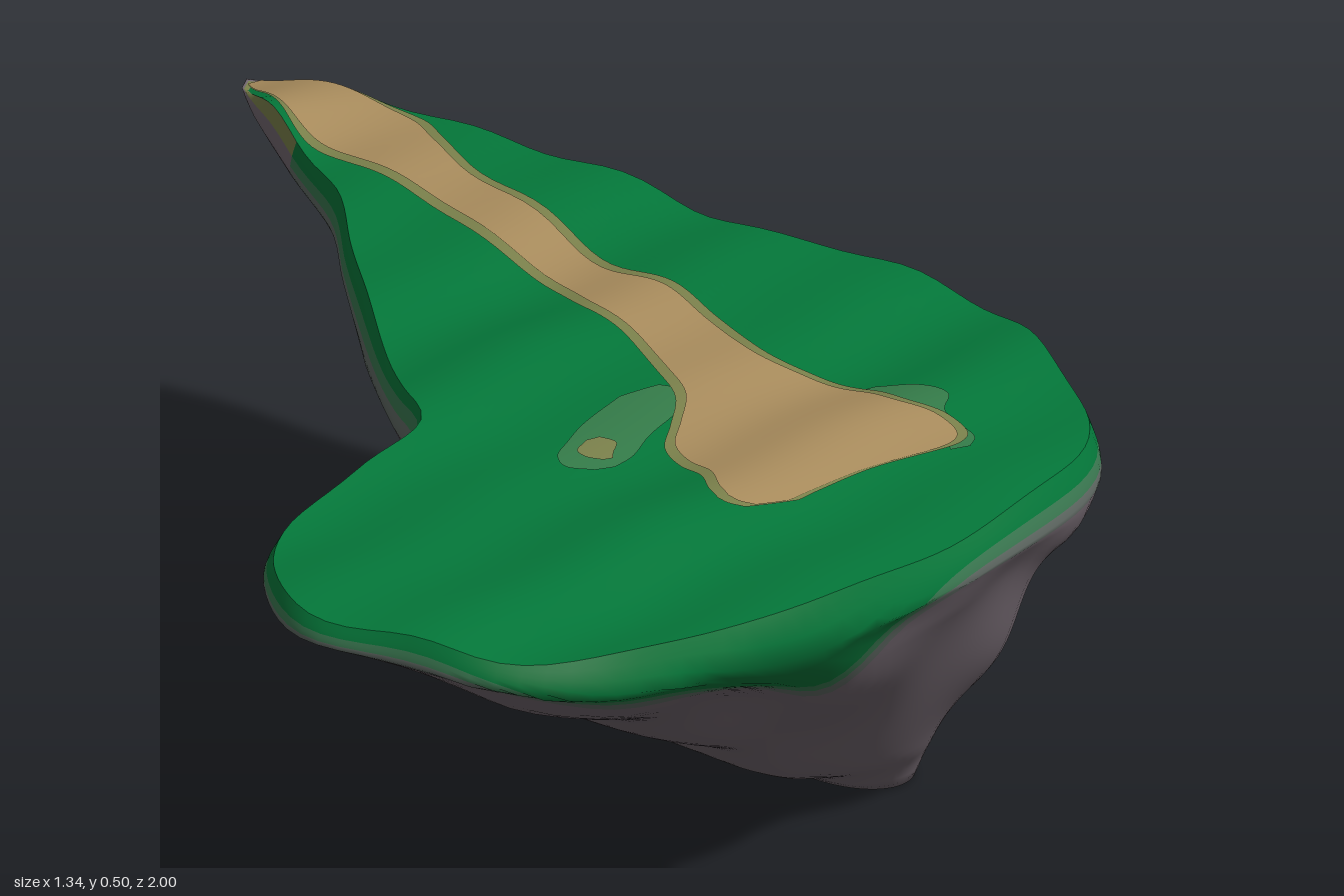
import * as THREE from 'three';

const mat = (name, color, extra = {}) => Object.assign(new THREE.MeshStandardMaterial({ color, ...extra }), { name });
const SEG = 160;
const CENTRE = [0.25, 0.5];

// shoreline of the island as [x, z], starting at the narrow tip
const OUTLINE = [
  [0.285, -1], [0.33, -0.9], [0.36, -0.8], [0.415, -0.67], [0.46, -0.5], [0.51, -0.36], [0.545, -0.16],
  [0.6, -0.04], [0.65, 0.1], [0.668, 0.26], [0.635, 0.45], [0.575, 0.64], [0.48, 0.75], [0.2, 0.9],
  [-0.04, 0.98], [-0.2, 0.995], [-0.43, 0.995], [-0.54, 0.93], [-0.61, 0.81], [-0.672, 0.67], [-0.62, 0.5],
  [-0.52, 0.37], [-0.36, 0.28], [-0.2, 0.18], [-0.15, 0.06], [-0.06, -0.15], [0.06, -0.4],
  [0.14, -0.56], [0.185, -0.74], [0.235, -0.91],
];

// gently rolling ground height
const smooth = THREE.MathUtils.smoothstep;
const ground = (x, z) =>
  0.48 + 0.006 * Math.sin(13 * z + 3 * x) + 0.005 * Math.sin(14 * x - 6 * z + 1) +
  0.005 * Math.sin(9 * x + 23 * z) + 0.008 * Math.exp(-(((z + 0.75) / 0.1) ** 2)) - 0.028 * smooth(-z, 0.78, 1);

// lumpy offset for the rock
const lump = (x, y, z) =>
  0.5 * Math.sin(14 * x + 9 * z + 16 * y) + 0.35 * Math.sin(23 * z - 11 * x + 2) + 0.35 * Math.sin(27 * y + 17 * x - 8 * z);

function makeGeometry(positions, buckets) {
  const geo = new THREE.BufferGeometry();
  geo.setAttribute('position', new THREE.Float32BufferAttribute(positions, 3));
  geo.setIndex(buckets.flat());
  let start = 0;
  if (buckets.length > 1) buckets.forEach((b, i) => { geo.addGroup(start, b.length, i); start += b.length; });
  geo.computeVertexNormals();
  return geo;
}

function makeShore() {
  const curve = new THREE.CatmullRomCurve3(OUTLINE.map(([x, z]) => new THREE.Vector3(x, 0, z)), true, 'centripetal');
  return curve.getSpacedPoints(SEG).slice(0, SEG).map((p) => {
    const dx = p.x - CENTRE[0], dz = p.z - CENTRE[1], r = Math.hypot(dx, dz);
    return { x: p.x, z: p.z, dx, dz, r, inset: 1 - 0.016 / r };
  });
}

// grass top: concentric rings reaching the inset shoreline
function topGeometry(shore) {
  const rings = 40, pos = [CENTRE[0], ground(...CENTRE), CENTRE[1]], idx = [];
  for (let k = 1; k <= rings; k++) {
    for (const p of shore) {
      const f = (k / rings) * p.inset;
      const x = CENTRE[0] + p.dx * f, z = CENTRE[1] + p.dz * f;
      pos.push(x, ground(x, z), z);
    }
  }
  for (let i = 0; i < SEG; i++) {
    const j = (i + 1) % SEG;
    idx.push(0, 1 + j, 1 + i);
    for (let k = 0; k < rings - 1; k++) {
      const a = 1 + k * SEG, b = a + SEG;
      idx.push(a + i, a + j, b + i, a + j, b + j, b + i);
    }
  }
  return makeGeometry(pos, [idx]);
}

// point on the flank: v = 0 at the grass edge, 0.1 at the widest rim, 1 at the foot
function flankPoint(p, v) {
  const tip = smooth(-p.z, 0.5, 1), left = smooth(-p.x, 0.35, 0.65);
  const rimY = 0.415 + 0.035 * Math.max(tip, left);
  if (v <= 0.1) {
    const t = v / 0.1, f = p.inset + (1 - p.inset) * Math.sin(t * Math.PI / 2);
    const x = CENTRE[0] + p.dx * f, z = CENTRE[1] + p.dz * f;
    const y0 = ground(CENTRE[0] + p.dx * p.inset, CENTRE[1] + p.dz * p.inset);
    return [x, y0 + (rimY - y0) * t, z];
  }
  const u = (v - 0.1) / 0.9, { r } = p;
  const ux = p.dx / r, uz = p.dz / r;
  const x = p.x + (0.295 + 0.085 * ux - p.x) * u, z = p.z + (0.43 + 0.15 * uz - p.z) * u;
  const straight = rimY * (1 - u ** 1.08);
  const y = straight + 0.018 * smooth(u, 0.85, 1) * (1 - u) / 0.15 + 0.003;
  // lumps push outward and down, across the sloping rock
  const n = (0.016 * lump(x, y, z) + 0.008) * Math.min(1, u * 7) * Math.min(1, (1 - u) * 6);
  return [x + ux * n * 0.65, y - n * 0.75, z + uz * n * 0.65];
}

// flank: grassy lip, two mossy transitions, then rock down to the small flat foot
function flankGeometry(shore) {
  const pos = [], buckets = [[], [], [], [], []];
  const lip = 5, band = 2, rock = 32, rows = lip + 2 * band + rock;
  for (let r = 0; r <= rows; r++) {
    for (const p of shore) {
      const front = smooth(p.z, 0.7, 0.9);
      const droop = Math.exp(-(((p.x + 0.07) / 0.16) ** 2)) * front;
      const lobe = smooth(-p.x, 0, 0.2) * (1 - smooth(-p.x, 0.4, 0.6)) * front;
      const notch = Math.exp(-(((p.x + 0.24) / 0.14) ** 2)) * smooth(-p.z, -0.35, -0.15);
      const vG = 0.045 + 0.22 * droop + 0.09 * lobe - 0.03 * notch;
      const ends = [vG, vG + 0.028, vG + 0.06];
      const v = r <= lip ? vG * r / lip
        : r <= lip + band ? ends[0] + (ends[1] - ends[0]) * (r - lip) / band
        : r <= lip + 2 * band ? ends[1] + (ends[2] - ends[1]) * (r - lip - band) / band
        : ends[2] + (1 - ends[2]) * (r - lip - 2 * band) / rock;
      pos.push(...flankPoint(p, v));
    }
  }
  for (let r = 0; r < rows; r++) {
    for (let i = 0; i < SEG; i++) {
      const j = (i + 1) % SEG, a = r * SEG, b = a + SEG;
      const sandy = shore[i].z < -0.72;
      const m = r < lip ? (sandy ? 4 : 0) : r >= lip + 2 * band || sandy ? 3 : r < lip + band ? 1 : 2;
      buckets[m].push(a + i, a + j, b + i, a + j, b + j, b + i);
    }
  }
  const foot = pos.length / 3;
  pos.push(0.295, 0, 0.43);
  for (let i = 0; i < SEG; i++) buckets[3].push(rows * SEG + i, rows * SEG + (i + 1) % SEG, foot);
  return makeGeometry(pos, buckets);
}

// ground-hugging patch from rows of [left x, right x, z]
function patchGeometry(rows, lift, widen = 0) {
  const curve = new THREE.CatmullRomCurve3(rows.map((r) => new THREE.Vector3(...r)), false, 'centripetal');
  const n = rows.length * 6, cols = 10, pos = [], idx = [];
  for (let r = 0; r <= n; r++) {
    const p = curve.getPoint(r / n);
    const w = widen * smooth(p.z, -0.9, -0.65);
    for (let c = 0; c <= cols; c++) {
      const x = THREE.MathUtils.lerp(p.x - w, p.y + w, c / cols);
      pos.push(x, ground(x, p.z) + lift, p.z);
      if (r < n && c < cols) {
        const a = r * (cols + 1) + c, b = a + cols + 1;
        idx.push(a, b, a + 1, a + 1, b, b + 1);
      }
    }
  }
  return makeGeometry(pos, [idx]);
}

const PATH = [
  [0.275, 0.295, -0.98], [0.245, 0.322, -0.9], [0.22, 0.342, -0.8], [0.205, 0.355, -0.7], [0.215, 0.335, -0.62],
  [0.228, 0.31, -0.5], [0.228, 0.31, -0.3], [0.232, 0.305, -0.13], [0.215, 0.325, -0.03], [0.21, 0.32, 0.08],
  [0.175, 0.31, 0.22], [0.15, 0.335, 0.3], [0.105, 0.35, 0.36], [0.065, 0.36, 0.41], [0.05, 0.365, 0.47],
  [0.045, 0.39, 0.53], [0.02, 0.385, 0.59], [0.012, 0.35, 0.62], [0.01, 0.2, 0.635], [0.015, 0.12, 0.652], [0.03, 0.08, 0.665],
];
const PALE_LEFT = [[0.08, 0.14, 0.25], [0, 0.16, 0.29], [-0.05, 0.12, 0.33], [-0.09, 0.05, 0.37], [-0.1, 0, 0.41], [-0.07, -0.04, 0.43]];
const PALE_RIGHT = [[0.36, 0.39, 0.38], [0.36, 0.43, 0.42], [0.36, 0.445, 0.47], [0.36, 0.41, 0.52], [0.36, 0.405, 0.6], [0.35, 0.38, 0.63]];
const SPOT = [[-0.03, -0.01, 0.345], [-0.06, 0, 0.37], [-0.06, -0.02, 0.395], [-0.045, -0.03, 0.41]];

export function createModel() {
  const grass = mat('grass green', 0x04783a);
  const moss = mat('moss green', 0x3b7a52);
  const stone = mat('mossy grey', 0x626c66);
  const rock = mat('rock grey', 0x746971);
  const sand = mat('path tan', 0xab8e5e, { side: THREE.DoubleSide });
  const verge = mat('verge olive', 0x7c824c, { side: THREE.DoubleSide });
  const pale = mat('pale green', 0x357d4a, { side: THREE.DoubleSide });

  const island = new THREE.Group();
  island.name = 'floatingIsland';
  const add = (name, geometry, material) => {
    const mesh = new THREE.Mesh(geometry, material);
    mesh.name = name;
    island.add(mesh);
  };
  const shore = makeShore();
  add('grassTop', topGeometry(shore), grass);
  add('rockFlank', flankGeometry(shore), [grass, moss, stone, rock, verge]);
  add('paleGrassLeft', patchGeometry(PALE_LEFT, 0.002), pale);
  add('paleGrassRight', patchGeometry(PALE_RIGHT, 0.002), pale);
  add('pathVerge', patchGeometry(PATH, 0.0035, 0.016), verge);
  add('path', patchGeometry(PATH, 0.005), sand);
  add('sandySpot', patchGeometry(SPOT, 0.005), verge);
  return island;
}
